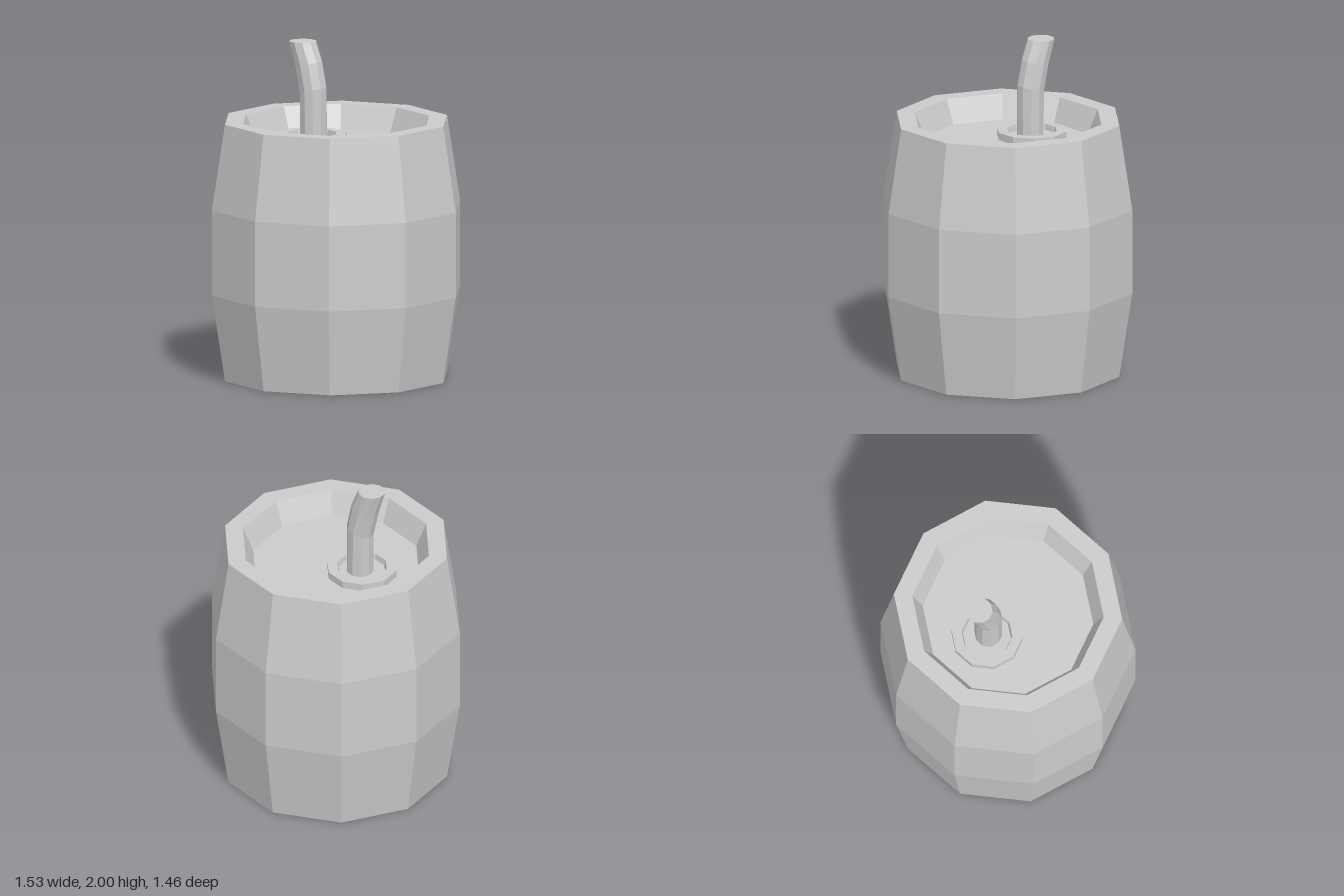
import * as THREE from 'three';

const SIDES = 10;
const material = new THREE.MeshStandardMaterial({ color: 0xcccccc, flatShading: true });

// Ten-sided turned part, with a corner on the x axis; profile runs from bottom to top
function turned(name, profile) {
  const points = profile.map(([r, y]) => new THREE.Vector2(r, y));
  const mesh = new THREE.Mesh(new THREE.LatheGeometry(points, SIDES, Math.PI / 2), material);
  mesh.name = name;
  return mesh;
}

// Bent stem: each ring of a cylinder is moved to its own centre and sheared back
function bentStem() {
  const radius = 0.082;
  // [centre y, centre z, rise of the ring towards the front]
  const rings = [[2, -0.255, 0], [1.86, -0.207, 0.3], [1.705, -0.174, 0.3], [1.4, -0.172, 0]];
  const last = rings.length - 1;
  const geometry = new THREE.CylinderGeometry(radius, radius, last, SIDES, last, false, Math.PI / 2);
  const pos = geometry.attributes.position;
  for (let i = 0; i < pos.count; i++) {
    const [y, z, tilt] = rings[Math.round(last / 2 - pos.getY(i))];
    const dz = pos.getZ(i);
    pos.setY(i, y + dz * tilt);
    pos.setZ(i, z + dz);
  }
  geometry.computeVertexNormals();
  const mesh = new THREE.Mesh(geometry, material);
  mesh.name = 'stem';
  return mesh;
}

export function createModel() {
  const model = new THREE.Group();
  model.name = 'barrel';

  // Bulging body with a recessed panel at both ends
  model.add(turned('body', [
    [0, 0.14], [0.512, 0.14], [0.574, 0], [0.685, 0],
    [0.765, 0.52], [0.765, 1.035],
    [0.685, 1.55], [0.574, 1.55], [0.512, 1.405], [0, 1.405],
  ]));

  // Raised collar around the opening
  const collar = turned('collar', [
    [0.213, 1.4], [0.213, 1.45], [0.152, 1.45], [0.144, 1.415], [0, 1.415],
  ]);
  collar.position.z = -0.185;
  model.add(collar);

  model.add(bentStem());
  return model;
}
